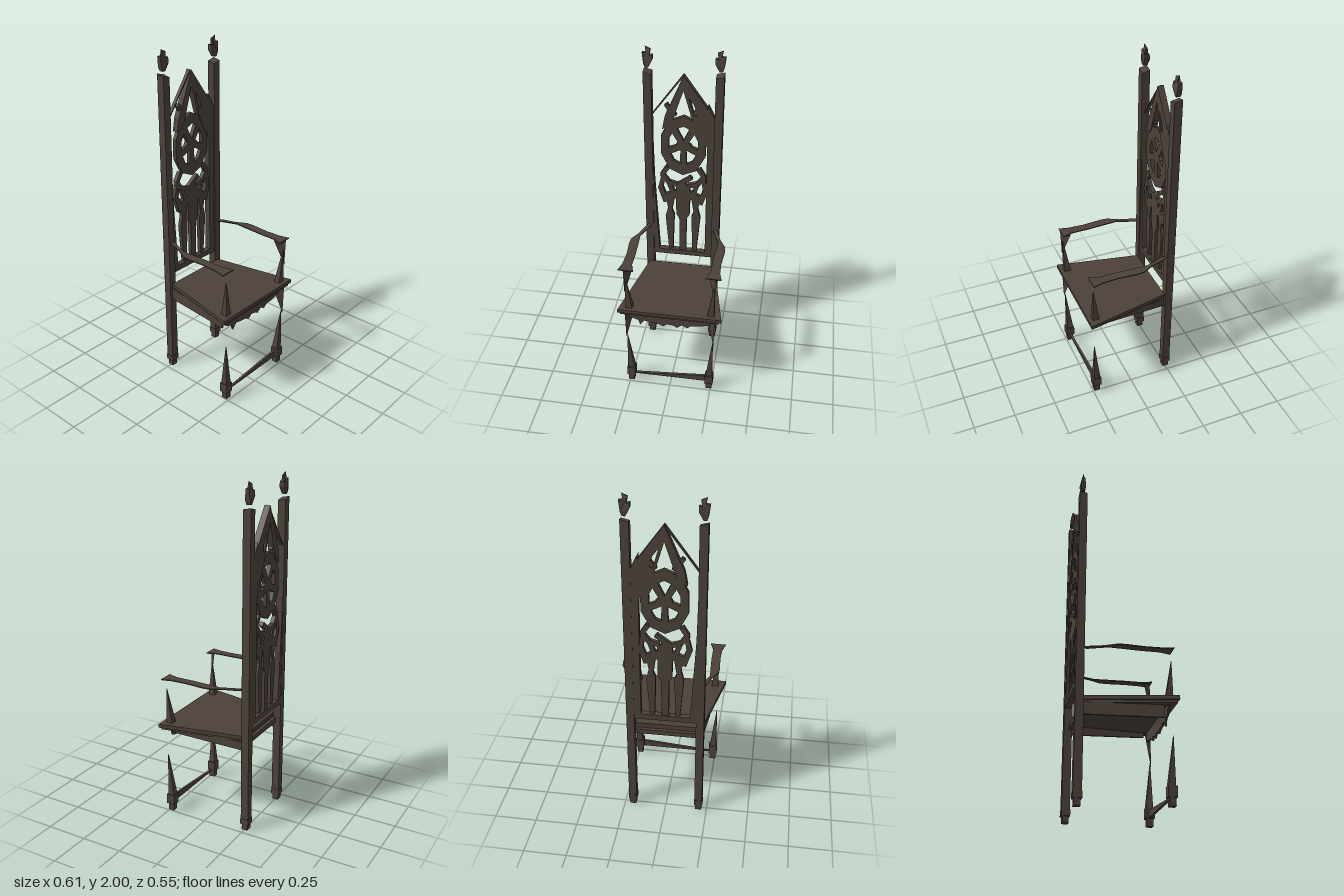
import * as THREE from 'three';

export function createModel() {
  const model = new THREE.Group();
  const wood = new THREE.MeshStandardMaterial({ color: 0x4c413a, flatShading: true });
  wood.name = 'darkWood';
  const thinWood = wood.clone();
  thinWood.side = THREE.DoubleSide;

  const add = (name, geometry, parent = model, material = wood) => {
    const mesh = new THREE.Mesh(geometry, material);
    mesh.name = name;
    parent.add(mesh);
    return mesh;
  };
  const outline = (pts, Type = THREE.Shape) => new Type(pts.map(([x, y]) => new THREE.Vector2(x, y)));
  // Upright plate in the xy plane, centred on z
  const plate = (name, pts, z, depth, parent = model, holes = []) => {
    const shape = outline(pts);
    shape.holes = holes.map((h) => outline(h, THREE.Path));
    const g = new THREE.ExtrudeGeometry(shape, { depth, bevelEnabled: false });
    return add(name, g.translate(0, 0, z - depth / 2), parent);
  };
  // Flat plate in the xz plane, from yBottom upward
  const slab = (name, pts, yBottom, depth) => {
    const g = new THREE.ExtrudeGeometry(outline(pts.map(([x, z]) => [x, -z])), { depth, bevelEnabled: false });
    return add(name, g.rotateX(-Math.PI / 2).translate(0, yBottom, 0));
  };
  const box = (name, w, h, d, x, y, z) => add(name, new THREE.BoxGeometry(w, h, d).translate(x, y, z));
  // Straight bar between two points of the back, tapering from width w0 to w1
  const bar = (name, a, b, w0, w1, z, depth, parent) => {
    const n = new THREE.Vector2(a[1] - b[1], b[0] - a[0]).normalize();
    return plate(name, [
      [a[0] - n.x * w0 / 2, a[1] - n.y * w0 / 2], [b[0] - n.x * w1 / 2, b[1] - n.y * w1 / 2],
      [b[0] + n.x * w1 / 2, b[1] + n.y * w1 / 2], [a[0] + n.x * w0 / 2, a[1] + n.y * w0 / 2],
    ], z, depth, parent);
  };
  const trapezoid = (front, back, z0, z1) => [[-front, z1], [front, z1], [back, z0], [-back, z0]];

  // Seat and scalloped apron
  slab('seat', trapezoid(0.305, 0.205, -0.23, 0.27), 0.567, 0.022);
  slab('seatUnderside', trapezoid(0.29, 0.195, -0.225, 0.262), 0.552, 0.015);
  plate('frontApron', [
    [-0.265, 0.555], [-0.235, 0.505], [-0.19, 0.49], [-0.18, 0.455], [-0.155, 0.49], [-0.11, 0.48],
    [-0.07, 0.475], [-0.04, 0.46], [-0.02, 0.48], [0.02, 0.475], [0.04, 0.46], [0.07, 0.485],
    [0.1, 0.465], [0.125, 0.485], [0.175, 0.49], [0.235, 0.505], [0.25, 0.555],
  ], 0.222, 0.012);
  box('backRail', 0.36, 0.03, 0.02, 0, 0.54, -0.235);
  for (const s of [-1, 1]) {
    const g = new THREE.BoxGeometry(0.012, 0.07, 0.43).translate(0, 0.518, -0.015);
    const p = g.attributes.position;
    for (let i = 0; i < p.count; i++) {
      p.setX(i, p.getX(i) + s * (0.22 + 0.09 * p.getZ(i)));
      // the left side board is cut to a sloping strip
      if (p.getY(i) < 0.5 && s > 0) p.setY(i, p.getZ(i) > 0 ? 0.525 : 0.5);
    }
    add(s < 0 ? 'rightSideApron' : 'leftSideApron', g);
  }

  for (const s of [-1, 1]) {
    const side = s < 0 ? 'right' : 'left';
    // Back post with a sloping top
    const post = new THREE.BoxGeometry(0.046, 1.8, 0.046).translate(0, 0.96, 0);
    const p = post.attributes.position;
    for (let i = 0; i < p.count; i++) {
      if (p.getY(i) > 1) p.setY(i, 1.858 + 0.25 * s * p.getX(i) - 0.2 * p.getZ(i));
    }
    add(side + 'BackPost', post.translate(s * 0.2, 0, -0.252));
    box(side + 'BackFoot', 0.05, 0.035, 0.05, s * 0.2, 0.055, -0.252);
    box(side + 'BackFootTip', 0.038, 0.04, 0.036, s * 0.2, 0.02, -0.252);

    // Leaf-like finial, thinning to its tip
    const leaf = [[-0.012, 1.882], [0.006, 1.882], [0.028, 1.925], [0.03, 1.955], [0.012, 1.95],
      [0.02, 1.985], [-0.012, 2], [-0.006, 1.965], [-0.028, 1.965], [-0.02, 1.905]];
    const finial = plate(side + 'Finial', s < 0 ? leaf : leaf.map(([x, y]) => [-x, y]).reverse(), 0, 0.036);
    const f = finial.geometry.attributes.position;
    for (let i = 0; i < f.count; i++) {
      const y = f.getY(i);
      f.setZ(i, f.getZ(i) * (y > 1.93 ? (2.003 - y) / 0.073 : 0.65 + (y - 1.88) * 7));
    }
    finial.geometry.computeVertexNormals();
    finial.position.set(s * 0.2, 0, -0.254);

    // Front feet
    box(side + 'FrontFoot', 0.05, 0.06, 0.05, s * 0.24, 0.085, 0.228);
    box(side + 'FrontFootTip', 0.036, 0.045, 0.036, s * 0.24, 0.033, 0.228);

    // Slender leg and arm support: a spike below, a diagonal blade above
    for (const [name, y0, yTip, yLow, y1] of [['FrontLeg', 0.11, 0.38, 0.36, 0.555], ['ArmSupport', 0.588, 0.8, 0.7, 0.865]]) {
      const spike = new THREE.CylinderGeometry(0.002, 0.028, yTip - y0, 4, 1, false, Math.PI / 4);
      const q = spike.attributes.position;
      for (let i = 0; i < q.count; i++) {
        const top = q.getY(i) > 0 ? 1 : 0;
        q.setXYZ(i, q.getX(i) + s * (0.24 + 0.016 * top), q.getY(i) + (y0 + yTip) / 2, q.getZ(i) + 0.226 + 0.014 * top);
      }
      add(side + name + 'Spike', spike);
      const tri = [[s * 0.215, y1, 0.2], [s * 0.262, yLow, 0.247], [s * 0.265, y1, 0.25]];
      if (s < 0) tri.reverse();
      const blade = new THREE.BufferGeometry();
      blade.setAttribute('position', new THREE.Float32BufferAttribute(tri.flat(), 3));
      blade.computeVertexNormals();
      add(side + name + 'Blade', blade);
    }

    // Bowed flat arm
    const arm = [[0.205, -0.235], [0.222, -0.2], [0.245, -0.125], [0.28, -0.06], [0.284, -0.02], [0.276, 0.1],
      [0.28, 0.19], [0.295, 0.25], [0.205, 0.25], [0.225, 0.19], [0.225, 0.08], [0.234, -0.1], [0.19, -0.215]];
    slab(side + 'Arm', arm.map(([x, z]) => [s * x, z]), 0.863, 0.006);
  }

  // Front stretcher, tapering to the right foot
  bar('frontStretcher', [-0.22, 0.06], [0.22, 0.08], 0.006, 0.042, 0.228, 0.014);

  // Frame of the back
  const back = new THREE.Group();
  back.name = 'back';
  model.add(back);
  const Z = -0.255, D = 0.036, T = 0.024;
  plate('bottomRail', [[-0.18, 0.652], [0.175, 0.652], [0.175, 0.685], [-0.18, 0.685]], Z, D, back);
  plate('leftStile', [[0.138, 0.68], [0.178, 0.68], [0.178, 1.6], [0.138, 1.68]], Z, D, back);
  plate('rightStile', [[-0.18, 0.68], [-0.142, 0.68], [-0.172, 1.2], [-0.18, 1.58]], Z, D, back);
  plate('leftArch', [[0, 1.85], [0, 1.76], [0.05, 1.59], [0.09, 1.5], [0.138, 1.42], [0.178, 1.6]].reverse(), Z, D, back, [
    [[0.03, 1.72], [0.06, 1.61], [0.08, 1.62], [0.06, 1.68]],
  ]);
  plate('rightArch', [[0, 1.85], [-0.035, 1.765], [-0.105, 1.6], [-0.12, 1.52], [-0.09, 1.53], [-0.062, 1.57], [0, 1.76]], Z, D, back);
  bar('rightArchEdge', [0, 1.848], [-0.18, 1.6], 0.008, 0.006, Z, 0.02, back);
  for (const s of [-1, 1]) bar('crocket', [s * 0.05, 1.6], [s * 0.1, 1.67], 0.03, 0.022, Z, T, back);

  // Rose: faceted ring with hub and spokes
  const ellipse = (rx, ry, n, turn) => Array.from({ length: n }, (_, i) => {
    const a = turn + (i / n) * Math.PI * 2;
    return [Math.cos(a) * rx, 1.415 + Math.sin(a) * ry];
  });
  plate('roseRing', ellipse(0.135, 0.19, 10, 0.3), Z, T, back, [ellipse(0.088, 0.125, 10, 0.3).reverse()]);
  plate('roseHub', ellipse(0.05, 0.03, 6, 0.2), Z, T, back);
  for (let i = 0; i < 5; i++) {
    const a = Math.PI * (0.3 + i * 0.4);
    bar('roseSpoke', [0, 1.415], [Math.cos(a) * 0.11, 1.415 + Math.sin(a) * 0.15], 0.03, 0.042, Z, T, back);
  }

  // Crossing arcs under the rose
  for (const s of [-1, 1]) {
    const arc = [[0.09, 1.27], [0.125, 1.215], [0.085, 1.165], [0.03, 1.15], [-0.05, 1.21]];
    for (let i = 0; i < arc.length - 1; i++) {
      if (i === 3 && s > 0) continue;
      bar('tracery', [s * arc[i][0], arc[i][1]], [s * arc[i + 1][0], arc[i + 1][1]], 0.028, 0.026, Z, T, back);
    }
    bar('tracery', [s * 0.115, 1.22], [s * 0.135, 1.12], 0.022, 0.03, Z, T, back);
    bar('tracery', [s * 0.135, 1.13], [s * 0.1, 1.03], 0.03, 0.035, Z, T, back);
    bar('tracery', [s * 0.12, 1.055], [s * 0.03, 1.09], 0.045, 0.05, Z, T, back);
    bar('tracery', [s * 0.085, 1.16], [s * 0.05, 1.07], 0.022, 0.03, Z, T, back);
    // Outer spindle
    plate('sideMullion', [[0.06, 0.69], [0.085, 0.69], [0.105, 0.93], [0.09, 0.99], [0.105, 1.07], [0.05, 1.07], [0.065, 0.97], [0.052, 0.94]]
      .map(([x, y]) => [s * x, y]), Z, T, back);
  }
  // Central mullion
  plate('centreMullion', [[-0.02, 0.68], [0.02, 0.68], [0.022, 0.92], [0.04, 0.95], [0.042, 1.14], [0, 1.17], [-0.042, 1.14],
    [-0.04, 0.95], [-0.022, 0.92]], Z, T, back);

  return model;
}
